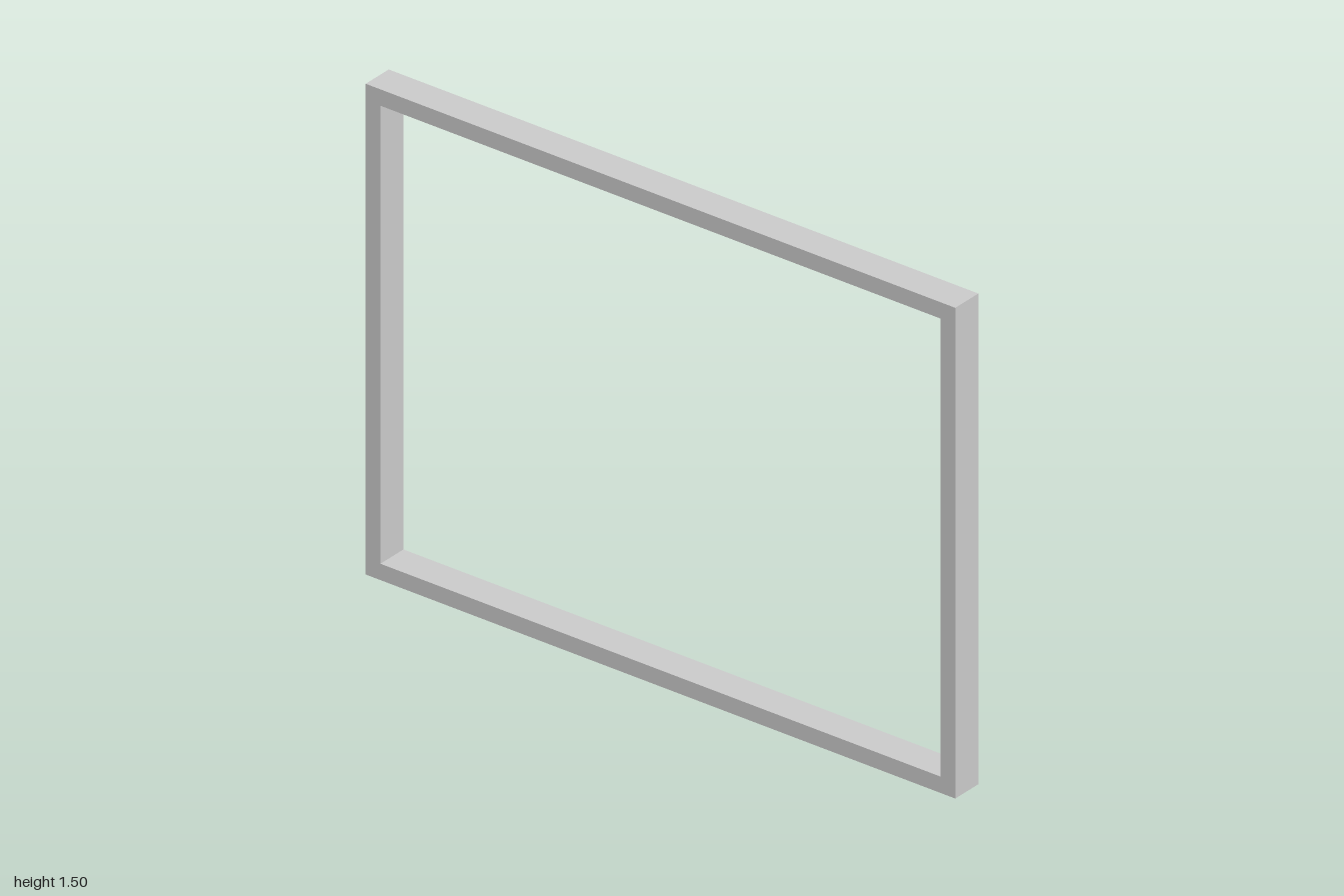
import * as THREE from 'three';

const WIDTH = 2, HEIGHT = 1.5, DEPTH = 0.1, BORDER = 0.05;

// Closed rectangle centred on x, from y0 to y1
function rectangle(PathType, halfWidth, y0, y1) {
  return new PathType([
    new THREE.Vector2(-halfWidth, y0),
    new THREE.Vector2(halfWidth, y0),
    new THREE.Vector2(halfWidth, y1),
    new THREE.Vector2(-halfWidth, y1),
  ]);
}

export function createModel() {
  const group = new THREE.Group();
  group.name = 'rectangularFrame';

  // One continuous frame with an open centre
  const outline = rectangle(THREE.Shape, WIDTH / 2, 0, HEIGHT);
  outline.holes.push(rectangle(THREE.Path, WIDTH / 2 - BORDER, BORDER, HEIGHT - BORDER));
  const geometry = new THREE.ExtrudeGeometry(outline, { depth: DEPTH, bevelEnabled: false });
  geometry.translate(0, 0, -DEPTH / 2);

  const frame = new THREE.Mesh(geometry, new THREE.MeshStandardMaterial({ color: 0xcccccc }));
  frame.name = 'frame';
  group.add(frame);
  return group;
}
